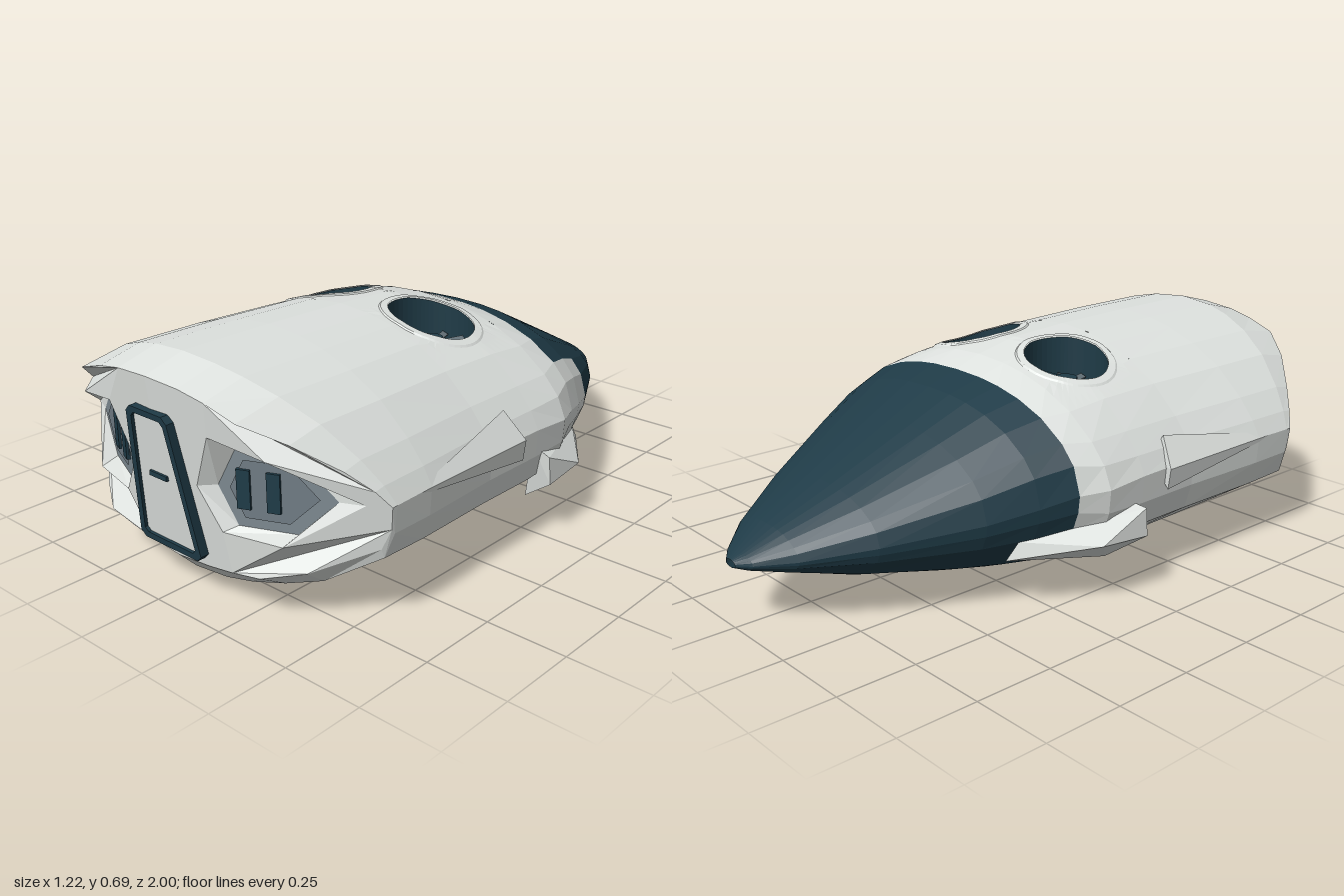
import * as THREE from 'three';
import { ConvexGeometry } from 'three/addons/geometries/ConvexGeometry.js';

const mat = (name, color) => Object.assign(new THREE.MeshStandardMaterial({ color, side: THREE.DoubleSide }), { name });
const lerp = THREE.MathUtils.lerp;

// Half section from the top centre, round the side, to the bottom centre
const X = [0, .2, .35, .52, .7, .86, .95, 1, .99, .95, .7, .52, .35, .2, 0];
const LENS = [1, .97, .91, .8, .62, .36, .16, 0, .25, .48, .77, .87, .94, .98, 1];
const SIDE = 7, LAST = 14;
// Hull stations: z, half width, top, side line, bottom, blend to the fuller nose section
const STATIONS = [
  [.86, .6, .69, .37, .05, 0], [.55, .597, .688, .37, .035, 0], [.26, .575, .682, .365, .015, 0],
  [.04, .575, .67, .36, .005, .1], [-.1, .575, .64, .35, .01, .4], [-.19, .54, .607, .345, .02, .9],
  [-.3, .495, .572, .32, .035, 1], [-.44, .43, .503, .29, .06, 1], [-.7, .285, .375, .25, .11, 1],
  [-.88, .16, .287, .22, .16, 1], [-.97, .07, .23, .205, .18, 1], [-1, .025, .212, .2, .19, 1],
];
const FAN_X = .20125, FAN_Z = .08, FAN_R = .13;

// Stern face: leans back towards the floor, chamfered at both sides
function sternZ(x, y) {
  const a = Math.abs(x);
  return .905 + .13 * y - .02 * Math.min(a / .34, 1) - .225 * Math.max(0, (a - .34) / .26);
}
function sectionY([, , T, M, B, k], j) {
  const h = lerp(LENS[j], Math.sqrt(1 - X[j] ** 2.3), k);
  return j <= SIDE ? M + (T - M) * h : M - (M - B) * h;
}
function hullPoint(i, j, s) {
  const st = STATIONS[i];
  return [s * st[1] * X[j], sectionY(st, j), st[0] - (i === 0 ? .17 * X[j] ** 2 : 0)];
}
function rimPoint(j, s) {
  const x = s * .6 * X[j], y = sectionY([0, .6, .655, .37, .11, 0], j);
  return [x, y, sternZ(x, y)];
}
// Height of the hull skin around the fan openings
function skinY(x, z, top) {
  const i = z > .04 ? 2 : 3, a = STATIONS[i], b = STATIONS[i + 1];
  const u = Math.abs(x) / .575;
  let j = 0;
  while (j < 6 && X[j + 1] < u) j++;
  const f = (u - X[j]) / (X[j + 1] - X[j]);
  const at = (st) => {
    if (top) return lerp(sectionY(st, j), sectionY(st, j + 1), f);
    let n = 10;
    while (n < 13 && X[n + 1] > u) n++;
    return lerp(sectionY(st, n), sectionY(st, n + 1), (X[n] - u) / (X[n] - X[n + 1]));
  };
  return lerp(at(a), at(b), (a[0] - z) / (a[0] - b[0]));
}

// Faceted surface collected from quads
class Facets {
  constructor() { this.p = []; }
  tri(a, b, c) { this.p.push(...a, ...b, ...c); }
  quad(a, b, c, d) { this.tri(a, b, c); this.tri(a, c, d); }
  loop(A, B) {
    A.forEach((a, i) => {
      const n = (i + 1) % A.length;
      this.quad(a, A[n], B[n], B[i]);
    });
  }
  mesh(name, material) {
    const g = new THREE.BufferGeometry();
    g.setAttribute('position', new THREE.Float32BufferAttribute(this.p, 3));
    g.computeVertexNormals();
    return Object.assign(new THREE.Mesh(g, material), { name });
  }
}

function shapeFrom(points) { return new THREE.Shape(points.map(([x, y]) => new THREE.Vector2(x, y))); }
// Flat shape bent onto a surface z = f(x, y)
function bentShape(shape, f, name, material) {
  const g = new THREE.ShapeGeometry(shape).toNonIndexed(), p = g.attributes.position;
  for (let i = 0; i < p.count; i++) p.setZ(i, f(p.getX(i), p.getY(i)));
  g.computeVertexNormals();
  return Object.assign(new THREE.Mesh(g, material), { name });
}

export function createModel() {
  const model = new THREE.Group();
  model.name = 'spacecraft';
  const white = mat('pale hull grey', 0xdee2df), teal = mat('dark teal', 0x1f3b47);
  const slate = mat('slate panel', 0x7d8990), slateDark = mat('deep slate', 0x707c84);
  const metal = mat('fan metal', 0x66737a);
  const add = (geo, m, name, x = 0, y = 0, z = 0, parent = model) => {
    const mesh = new THREE.Mesh(geo, m);
    mesh.name = name;
    mesh.position.set(x, y, z);
    parent.add(mesh);
    return mesh;
  };

  // Hull and nose skins, with a pale notch on one flank of the nose
  const hull = new Facets(), nose = new Facets();
  for (const s of [1, -1]) {
    for (let j = 0; j < LAST; j++) {
      hull.quad(rimPoint(j, s), rimPoint(j + 1, s), hullPoint(0, j + 1, s), hullPoint(0, j, s));
      for (let i = 0; i < STATIONS.length - 1; i++) {
        if ((i === 2 || i === 3) && (j < 4 || j >= 10)) continue;
        const notch = s > 0 && i < 7 && j >= 5 && j < 10;
        (i < 5 || notch ? hull : nose).quad(hullPoint(i, j, s), hullPoint(i, j + 1, s), hullPoint(i + 1, j + 1, s), hullPoint(i + 1, j, s));
      }
    }
  }

  // Fan openings: skin patch, raised trim, duct and fan
  const corners = [[-1, -1], [1, -1], [1, 1], [-1, 1]], border = [];
  corners.forEach((c, i) => {
    const d = corners[(i + 1) % 4];
    for (let k = 0; k < 12; k++) border.push([lerp(c[0], d[0], k / 12) * FAN_X, lerp(c[1], d[1], k / 12) * .18]);
  });
  for (const s of [1, -1]) {
    const duct = new Facets(), trim = new Facets();
    const ring = (top, f, lift = 0) => border.map(([dx, dz]) => {
      const l = Math.hypot(dx, dz), r = f.r ?? lerp(FAN_R, l, f);
      const x = FAN_X + dx / l * r, z = FAN_Z + dz / l * r;
      return [s * x, skinY(x, z, top) + lift, z];
    });
    for (const top of [true, false]) {
      const up = top ? .004 : -.002;
      hull.loop(ring(top, 0), ring(top, .5));
      hull.loop(ring(top, .5), ring(top, 1));
      trim.loop(ring(top, { r: FAN_R }, up), ring(top, { r: .152 }, up));
      trim.loop(ring(top, { r: .152 }, up), ring(top, { r: .157 }));
    }
    duct.loop(ring(true, 0), ring(false, 0));
    model.add(duct.mesh('fanDuct', teal), trim.mesh('ductTrim', white));

    // Small dark gusset beside each lower opening, larger on the notched flank
    const gusset = new Facets(), size = s > 0 ? 1 : .5;
    gusset.tri(...[[.13, -.12], [.19, -.11], [.17, -.02]].map(([dx, dz]) => {
      const x = s * FAN_X + .16 + (dx - .16) * size, z = FAN_Z - .08 + (dz + .08) * size;
      return [x, skinY(x, z, false) - .003, z];
    }));
    model.add(gusset.mesh('ductGusset', teal));

    const fan = new THREE.Group();
    fan.name = 'liftFan';
    fan.position.set(s * FAN_X, .55, FAN_Z);
    model.add(fan);
    add(new THREE.CylinderGeometry(.036, .036, .05, 16), teal, 'fanHub', 0, 0, 0, fan);
    for (let k = 0; k < 10; k++) {
      const arm = new THREE.Group();
      arm.name = 'fanBlade';
      arm.rotation.y = k * Math.PI / 5;
      fan.add(arm);
      add(new THREE.BoxGeometry(.09, .006, .02), metal, 'blade', .074, 0, 0, arm).rotation.x = .45;
    }
    add(new THREE.BoxGeometry(.255, .014, .014), teal, 'fanCrossbar', 0, .015, 0, fan);
    if (s > 0) add(new THREE.CylinderGeometry(FAN_R, FAN_R, .008, 32), teal, 'ductFloor', s * FAN_X, .12, FAN_Z);
  }

  // Stern bulkhead: centre strip and two sides with hexagonal engine recesses
  const outer = [[.55, .375], [.37, .5], [.2, .53], [.13, .37], [.2, .25], [.38, .25]];
  const inner = [[.485, .375], [.38, .485], [.225, .485], [.175, .375], [.225, .265], [.38, .265]];
  const panelZ = (x) => .985 - .42 * Math.abs(x);
  const strip = new Facets();
  for (const s of [1, -1]) {
    const flip = (pts) => pts.map(([x, y]) => [s * x, y]);
    strip.quad(rimPoint(0, s), rimPoint(LAST, s), rimPoint(LAST - 1, s), rimPoint(1, s));
    const outline = [];
    for (let j = 1; j < LAST; j++) outline.push(rimPoint(j, s));
    const stern = shapeFrom(outline);
    stern.holes.push(shapeFrom(flip(outer)));
    model.add(bentShape(stern, sternZ, 'sternBulkhead', white));
    const wall = new Facets();
    wall.loop(flip(outer).map(([x, y]) => [x, y, sternZ(x, y)]), flip(inner).map(([x, y]) => [x, y, panelZ(x)]));
    model.add(wall.mesh('recessWalls', white));
    model.add(bentShape(shapeFrom(flip(inner)), panelZ, 'enginePanel', slate));
    const small = inner.map(([x, y]) => [.31 + (x - .31) * .75, .375 + (y - .375) * .75]);
    model.add(bentShape(shapeFrom(flip(small)), (x) => panelZ(x) + .004, 'engineInset', slateDark));
    for (const x of [.247, .325]) {
      const slot = add(new THREE.BoxGeometry(.038, .112, .012), teal, 'engineSlot', s * x, .376, panelZ(x) + .006);
      slot.rotation.y = s * Math.atan(.42);
    }
  }
  model.add(strip.mesh('sternCentre', white));

  // Stern door, leaning with the bulkhead
  const trapezoid = (top, bottom, y1, y0, c) => shapeFrom([
    [-bottom, y0 + c], [-bottom + c, y0], [bottom - c, y0], [bottom, y0 + c],
    [top, y1 - c], [top - c, y1], [-top + c, y1], [-top, y1 - c]]);
  const frameShape = trapezoid(.083, .127, .56, .138, .018);
  frameShape.holes.push(trapezoid(.065, .106, .542, .158, .012));
  const plate = (shape, depth) => {
    const g = new THREE.ExtrudeGeometry(shape, { depth, bevelEnabled: false }), p = g.attributes.position;
    for (let i = 0; i < p.count; i++) p.setZ(i, p.getZ(i) - .008 + sternZ(0, p.getY(i)));
    g.computeVertexNormals();
    return g;
  };
  add(plate(frameShape, .028), teal, 'doorFrame');
  add(plate(trapezoid(.068, .109, .545, .155, .012), .018), white, 'door');
  add(new THREE.BoxGeometry(.07, .014, .012), teal, 'doorHandle', 0, .366, sternZ(0, .366) + .012);

  // Flank winglets and armour steps
  const winglet = [[.53, .29, 0], [.605, .275, .02], [.612, .19, .02], [.49, .1, -.03], [.6, .2, -.15], [.44, .17, -.38], [.45, .22, -.34]];
  const step = [[.598, .37, .65], [.535, .45, .16], [.597, .365, .13], [.588, .3, .13], [.5, .37, .15]];
  for (const s of [1, -1]) {
    const solid = (pts) => new ConvexGeometry(pts.map(([x, y, z]) => new THREE.Vector3(s * x, y, z)));
    add(solid(winglet), white, 'winglet');
    add(solid(step), white, 'armourStep');
  }

  model.add(hull.mesh('hull', white), nose.mesh('nose', teal));
  return model;
}
